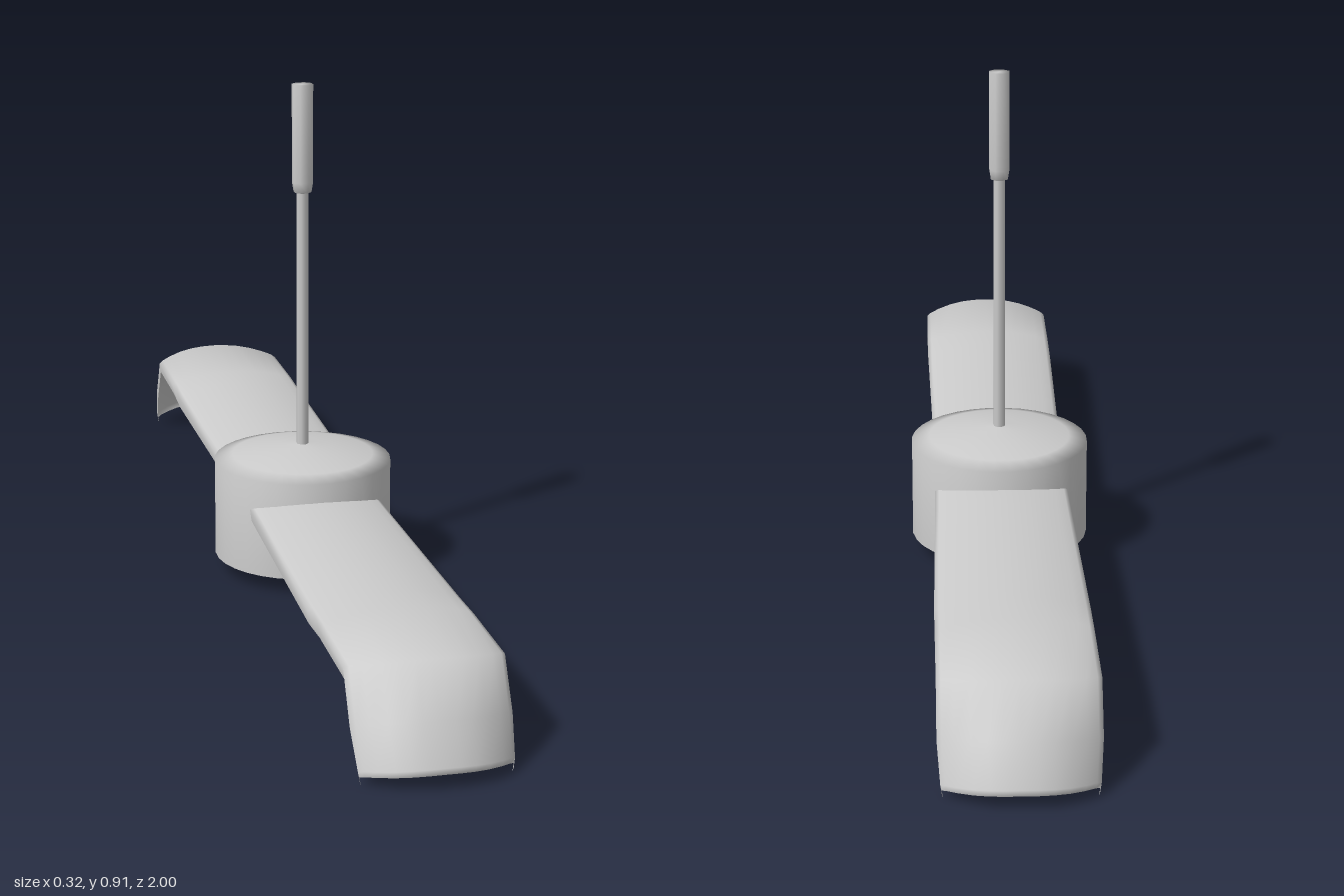
import * as THREE from 'three';

const grey = new THREE.MeshStandardMaterial({ color: 0xcccccc, side: THREE.DoubleSide });

function lathe(name, points, segments) {
  const pts = points.map(([r, y]) => new THREE.Vector2(r, y));
  const mesh = new THREE.Mesh(new THREE.LatheGeometry(pts, segments), grey);
  mesh.name = name;
  mesh.rotation.y = Math.PI / segments;
  return mesh;
}

// Open arched shell with a turned-down lip on both long edges
function bladeGeometry() {
  // cross-section: [fraction of half width, fraction of drop]
  const half = [[0.2, 0.02], [0.4, 0.07], [0.6, 0.16], [0.8, 0.29], [0.94, 0.41], [1, 0.52], [0.98, 1]];
  const section = [...half.map(([x, d]) => [-x, d]).reverse(), [0, 0], ...half];
  // stations: z, y, half width, drop in z (rounds the station in plan), drop in y
  const stations = [
    [0.160, 0.175, 0.121, -0.052, -0.043],
    [0.200, 0.176, 0.122, 0, -0.045],
    [0.620, 0.180, 0.128, 0, -0.048],
    [0.700, 0.180, 0.128, 0, -0.041],
    [0.918, 0.180, 0.128, -0.047, -0.041],
    [0.965, 0.099, 0.128, -0.048, -0.036],
    [1.000, 0.038, 0.123, -0.050, -0.032],
    [0.996, 0.026, 0.121, -0.046, -0.026],
  ];
  const n = section.length, pos = [], index = [];
  for (const [z, y, w, dz, dy] of stations)
    for (const [fx, fd] of section)
      pos.push(fx * w, y + fd * dy, z + dz * Math.abs(fx) ** 2.5);
  for (let i = 0; i < stations.length - 1; i++)
    for (let j = 0; j < n - 1; j++) {
      const a = i * n + j, b = a + 1, c = a + n, d = c + 1;
      index.push(a, c, b, b, c, d);
    }
  const g = new THREE.BufferGeometry();
  g.setAttribute('position', new THREE.Float32BufferAttribute(pos, 3));
  g.setIndex(index);
  g.computeVertexNormals();
  return g;
}

export function createModel() {
  const group = new THREE.Group();

  // Motor housing: open-bottomed drum with a shallow domed cap, softly shaded
  group.add(lathe('housing', [
    [0.163, 0.03], [0.163, 0.21], [0.13, 0.219], [0.09, 0.228], [0.05, 0.234], [0.01, 0.238],
  ], 32));

  // Hanging rod and its eight-sided ceiling sleeve
  group.add(lathe('rod', [[0.011, 0.236], [0.011, 0.715]], 8));
  group.add(lathe('sleeve', [[0.010, 0.71], [0.0165, 0.712], [0.0195, 0.73], [0.0195, 0.908], [0, 0.908]], 8));

  // Two opposite blades with bent-down tips
  const geometry = bladeGeometry();
  ['frontBlade', 'backBlade'].forEach((name, i) => {
    const blade = new THREE.Mesh(geometry, grey);
    blade.name = name;
    blade.rotation.y = i * Math.PI;
    group.add(blade);
  });
  return group;
}
